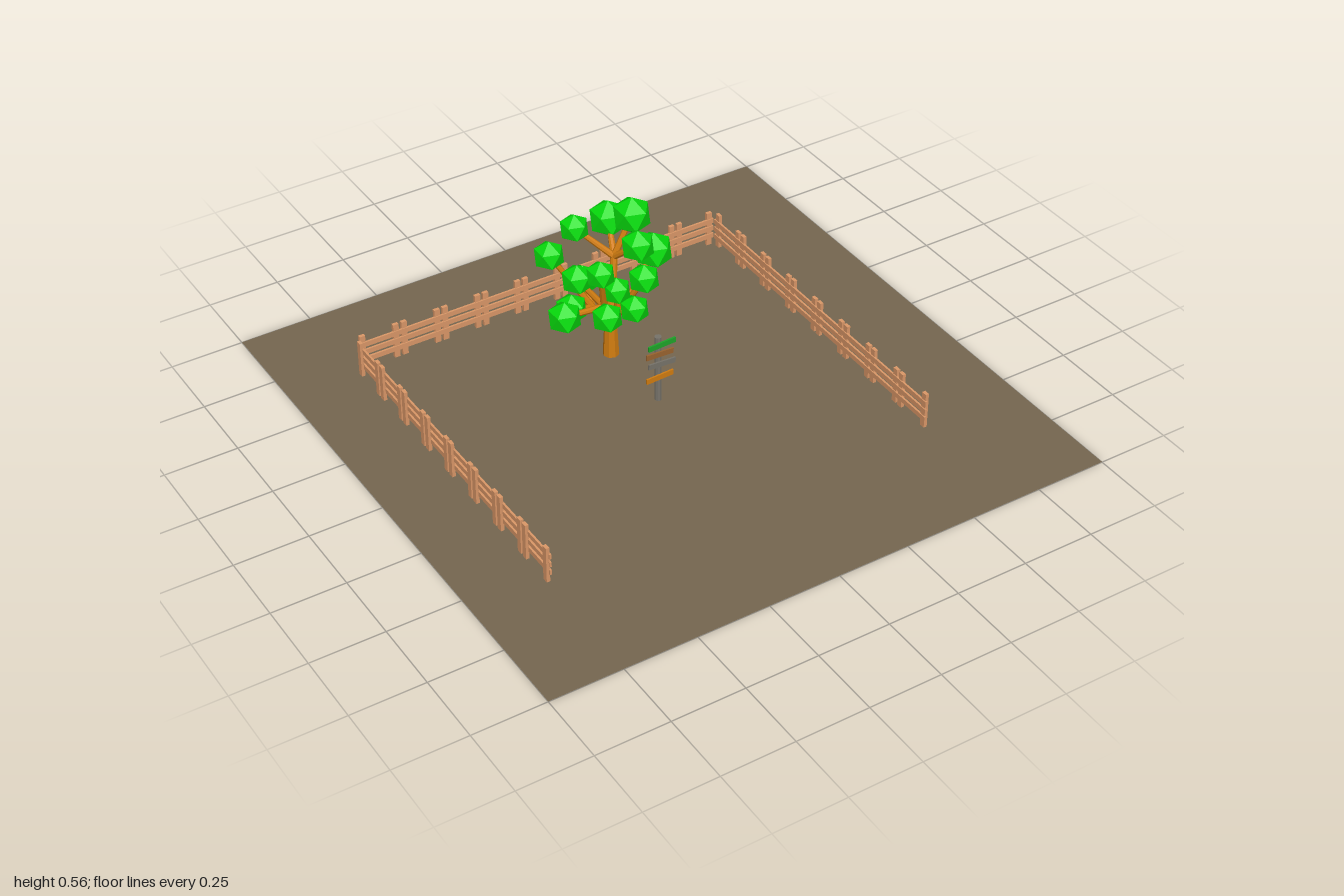
import * as THREE from 'three';

const mat = (name, color, extra = {}) => {
  const m = new THREE.MeshStandardMaterial({ color, flatShading: true, ...extra });
  m.name = name;
  return m;
};

export function createModel() {
  const soil = mat('soil', 0x766750, { side: THREE.DoubleSide });
  const fenceWood = mat('fence wood', 0xdb9868);
  const bark = mat('bark', 0xd07c10);
  const leaf = mat('leaf', 0x06dc0c);
  const postGrey = mat('post grey', 0x77736a);
  const signGreen = mat('sign green', 0x1fa52a);
  const signBrown = mat('sign brown', 0x9a6430);

  const model = new THREE.Group();
  const group = (name, parent = model) => {
    const g = new THREE.Group();
    g.name = name;
    parent.add(g);
    return g;
  };
  const add = (parent, name, geometry, material, x = 0, y = 0, z = 0) => {
    const m = new THREE.Mesh(geometry, material);
    m.name = name;
    m.position.set(x, y, z);
    parent.add(m);
    return m;
  };

  // Ground sheet, a hair above the trunk's foot
  add(model, 'ground', new THREE.PlaneGeometry(2, 2).rotateX(-Math.PI / 2), soil, 0, 0.001, 0);

  // Fence runs of repeated panels: three rails with two pickets on the outer side
  const PITCH = 0.152;
  const picket = new THREE.BoxGeometry(0.02, 0.13, 0.012);
  const rail = new THREE.BoxGeometry(PITCH, 0.018, 0.007);
  const fenceRun = (name, count, x, z, turn, outer) => {
    const run = group(name);
    run.position.set(x, 0, z);
    run.rotation.y = turn;
    for (let i = 0; i < count; i++) {
      const panel = group('fencePanel', run);
      panel.position.x = (i + 0.5) * PITCH;
      for (const s of [-1, 1]) add(panel, 'picket', picket, fenceWood, s * 0.061, 0.066, outer * 0.006);
      for (const y of [0.038, 0.068, 0.098]) add(panel, 'rail', rail, fenceWood, 0, y, 0);
    }
  };
  fenceRun('backFence', 9, -0.738, -0.655, 0, -1);
  fenceRun('rightFence', 8, -0.738, -0.646, -Math.PI / 2, 1);
  fenceRun('leftFence', 8, 0.632, -0.646, -Math.PI / 2, -1);

  // Tree
  const tree = group('tree');
  const limb = (name, a, b, r0, r1) => {
    const from = new THREE.Vector3(...a), to = new THREE.Vector3(...b);
    const dir = to.clone().sub(from);
    const m = add(tree, name, new THREE.CylinderGeometry(r1, r0, dir.length(), 8), bark);
    m.position.copy(from).addScaledVector(dir, 0.5);
    m.quaternion.setFromUnitVectors(new THREE.Vector3(0, 1, 0), dir.normalize());
  };
  const fork = [0, 0.13, -0.3];
  limb('trunk', [0, 0, -0.3], [0, 0.15, -0.3], 0.028, 0.02);

  // Each bough: its elbow, then leaf clumps as x, y, z, radius
  const boughs = [
    [[0.04, 0.35, -0.34], [
      [0.105, 0.49, -0.335, 0.067], [0.085, 0.42, -0.45, 0.067],
      [-0.06, 0.45, -0.42, 0.051], [0.075, 0.43, -0.25, 0.058]]],
    [[-0.06, 0.25, -0.24], [
      [-0.215, 0.275, -0.225, 0.058], [-0.105, 0.28, -0.145, 0.053],
      [-0.095, 0.41, -0.2, 0.05], [-0.135, 0.36, -0.28, 0.054]]],
    [[0.05, 0.2, -0.28], [
      [0.19, 0.32, -0.34, 0.067], [0.085, 0.31, -0.23, 0.054]]],
    [[-0.03, 0.16, -0.36], [
      [-0.12, 0.2, -0.345, 0.055], [-0.01, 0.205, -0.46, 0.056],
      [-0.15, 0.37, -0.43, 0.054]]],
    [[0, 0.2, -0.25], [
      [-0.01, 0.29, -0.245, 0.05], [0.03, 0.23, -0.2, 0.051]]],
  ];
  // Twenty-sided clump with one corner pointing up
  const clump = new THREE.IcosahedronGeometry(1, 0).rotateZ(-Math.atan(2 / (1 + Math.sqrt(5))));
  for (const [elbow, leaves] of boughs) {
    limb('bough', fork, elbow, 0.017, 0.012);
    for (const [x, y, z, r] of leaves) {
      limb('branch', elbow, [x, y, z], 0.012, 0.008);
      add(tree, 'leafClump', clump, leaf, x, y, z).scale.setScalar(r);
    }
  }

  // Signpost with four slightly tilted boards
  const sign = group('signpost');
  add(sign, 'post', new THREE.CylinderGeometry(0.012, 0.012, 0.25, 10), postGrey, 0, 0.125, -0.01);
  const board = new THREE.BoxGeometry(0.1, 0.019, 0.006);
  const boards = [
    [0.225, signGreen, 0.04], [0.19, signBrown, -0.05],
    [0.15, postGrey, -0.06], [0.1, bark, 0.04],
  ];
  boards.forEach(([y, material, tilt], i) => {
    add(sign, 'signBoard', board, material, i % 2 ? -0.002 : 0.006, y, 0.004).rotation.z = tilt;
  });

  return model;
}
